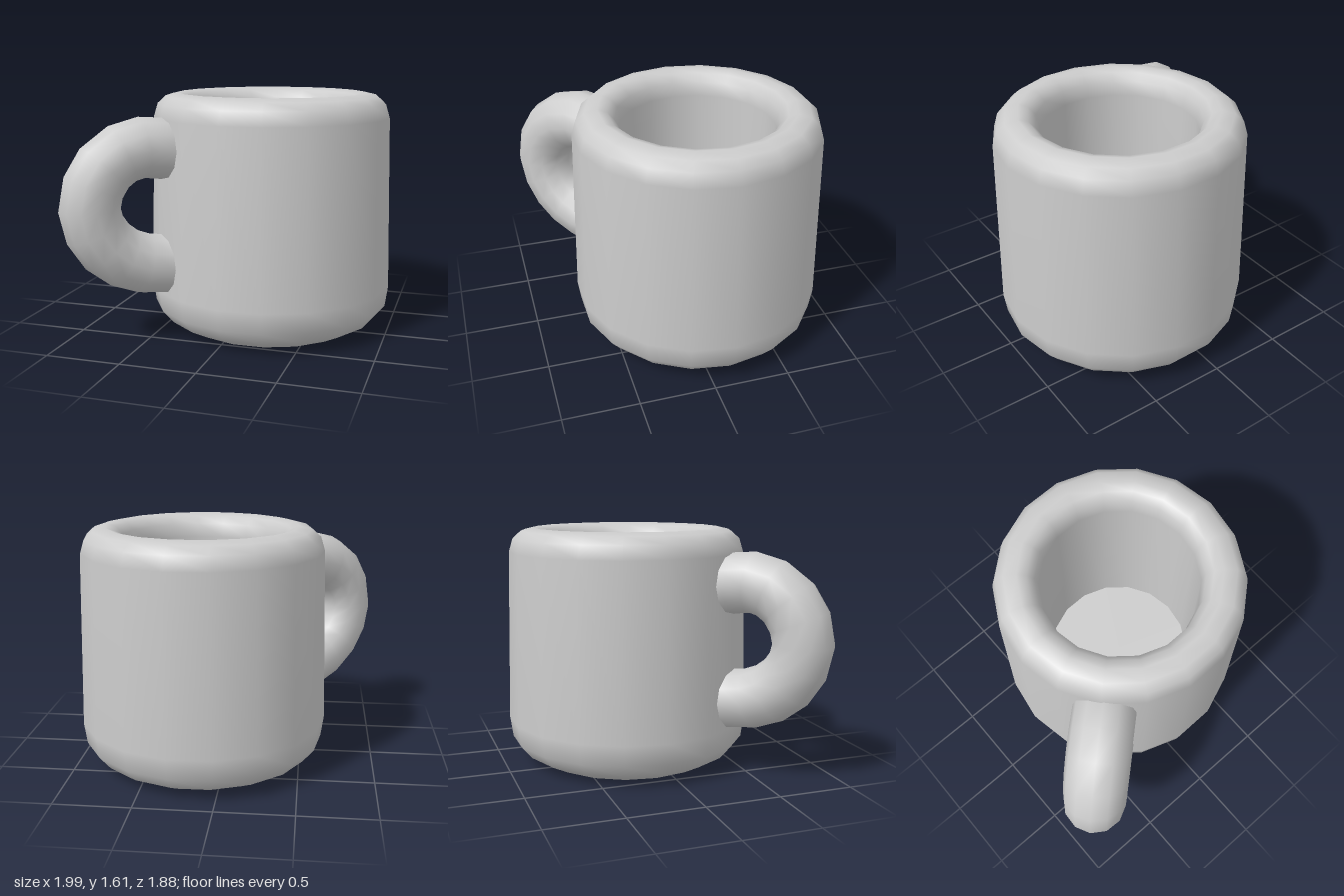
import * as THREE from 'three';

const SIDES = 18;
const CENTRE = new THREE.Vector3(0.165, 0, -0.12);

export function createModel() {
  const group = new THREE.Group();
  group.name = 'mug';
  const clay = new THREE.MeshStandardMaterial({ name: 'light grey clay', color: 0xcccccc });

  const add = (name, geometry) => {
    const mesh = new THREE.Mesh(geometry, clay);
    mesh.name = name;
    mesh.position.copy(CENTRE);
    group.add(mesh);
    return mesh;
  };

  // Thick body: base, tapered outer wall, rounded rim, inner wall
  const profile = [
    [0, 0], [0.6, 0], [0.735, 0.07], [0.81, 0.16], [0.83, 0.3],
    [0.802, 1.45], [0.775, 1.54], [0.72, 1.59], [0.635, 1.61],
    [0.575, 1.59], [0.53, 1.54], [0.51, 1.45], [0.51, 0.25],
  ].map(([r, y]) => new THREE.Vector2(r, y));
  add('body', new THREE.LatheGeometry(profile, SIDES, Math.PI / 2)).rotation.y = 0.015;

  // Flat floor inside the cup
  const floor = new THREE.CircleGeometry(0.51, SIDES);
  floor.rotateX(-Math.PI / 2);
  floor.translate(0, 0.25, 0);
  add('innerFloor', floor).rotation.y = 0.015;

  // Round loop handle, its ends buried in the wall
  const path = new THREE.CatmullRomCurve3([
    [0.66, 1.24], [0.93, 1.28], [1.12, 1.22], [1.24, 1.09], [1.29, 0.92],
    [1.25, 0.75], [1.15, 0.62], [1.02, 0.54], [0.86, 0.5], [0.66, 0.5],
  ].map(([r, y]) => new THREE.Vector3(r, y, 0)));
  const handle = add('handle', new THREE.TubeGeometry(path, 12, 0.2, 12));
  handle.rotation.y = Math.PI + 0.732; // points to the front right

  return group;
}
